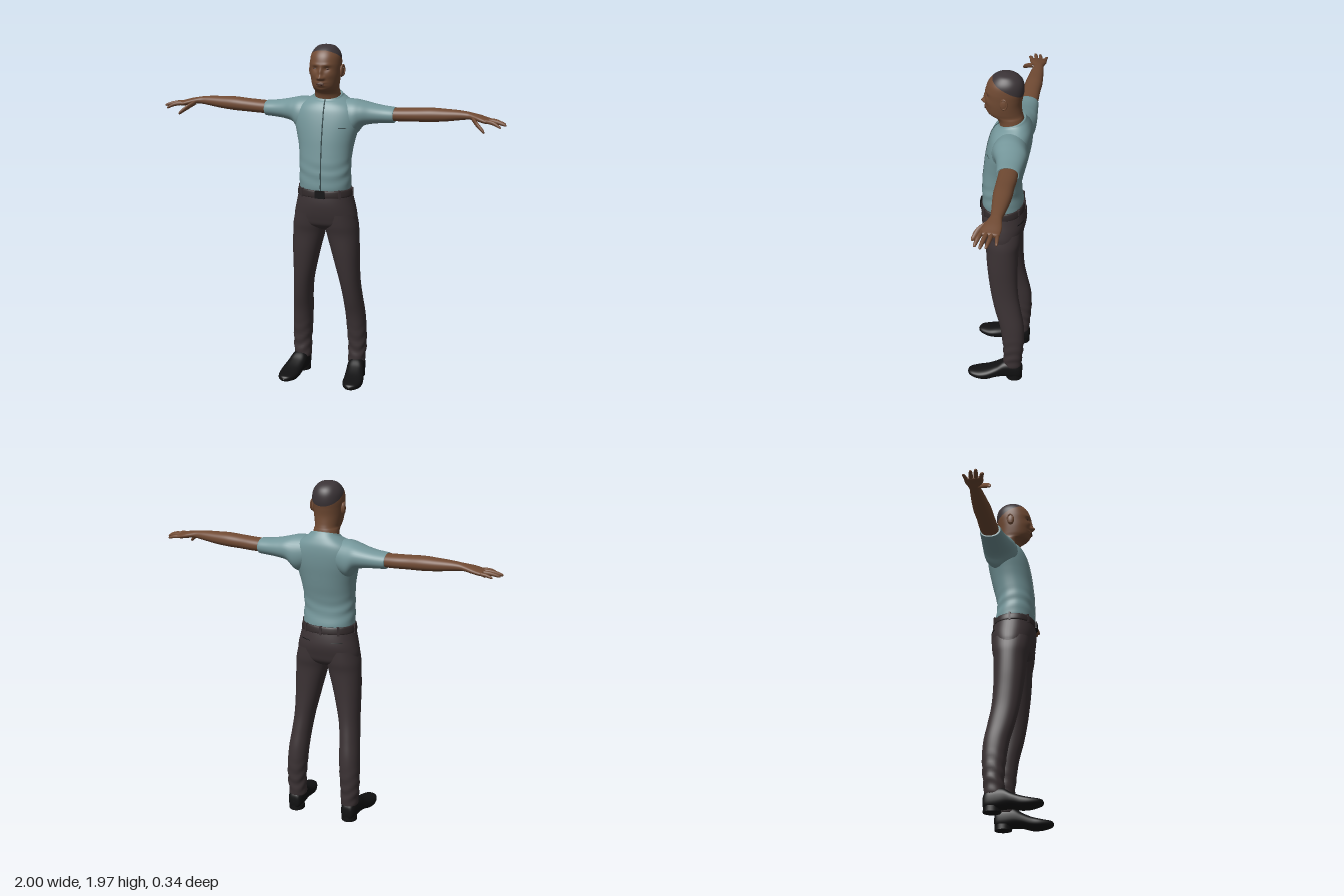
import * as THREE from 'three';
import { mergeVertices } from 'three/addons/utils/BufferGeometryUtils.js';

const paint = (name, color) => Object.assign(new THREE.MeshStandardMaterial({ color }), { name });
const skin = paint('skin', 0x704a33), lipShade = paint('dark skin', 0x4a2d23), hair = paint('hair', 0x3b3437);
const shirt = paint('shirt', 0x74969a), seam = paint('shirt seam', 0x3f5457);
const cloth = paint('trousers', 0x3b3234), leather = paint('belt', 0x31292a), black = paint('black leather', 0x111112);

// Smooth interpolation through the rows of a table
function spline(rows, t) {
  const n = rows.length - 1, i = Math.min(Math.max(Math.floor(t), 0), n - 1), f = t - i;
  const [a, b, c, d] = [i - 1, i, i + 1, i + 2].map((k) => rows[Math.min(Math.max(k, 0), n)]);
  return b.map((_, k) => 0.5 * (2 * b[k] + (c[k] - a[k]) * f
    + (2 * a[k] - 5 * b[k] + 4 * c[k] - d[k]) * f * f + (3 * b[k] - a[k] - 3 * c[k] + d[k]) * f ** 3));
}

// Rounded cross-sections along an axis; row = [position, aMin, aMax, bMin, bMax, tilt]
// (a, b) are (x, z) along y, (z, y) along x and (y, x) along z
function rings(axis, rows, power = 1, wrinkle = () => 0) {
  const bend = (v) => Math.sign(v) * Math.abs(v) ** power;
  return (u, t) => {
    const [s, a0, a1, b0, b1, tilt = 0] = spline(rows, t);
    const k = 1 + wrinkle(s, u);
    const a = (a0 + a1) / 2 + (a1 - a0) / 2 * k * bend(Math.sin(u));
    const b = (b0 + b1) / 2 + (b1 - b0) / 2 * k * bend(Math.cos(u));
    const h = s - tilt * Math.cos(u);
    return axis === 'y' ? new THREE.Vector3(a, h, b)
      : axis === 'x' ? new THREE.Vector3(h, b, a) : new THREE.Vector3(b, a, h);
  };
}

// Closed skin around a surface rule, optionally mirrored to the other side
function surface(fn, nu, nv, t0, t1, flip = false, focus = 0) {
  const pos = [], idx = [], at = (t, u) => (typeof t === 'function' ? t(u) : t);
  for (let j = 0; j <= nv; j++) for (let i = 0; i <= nu; i++) {
    const w = (i % nu) / nu * Math.PI * 2 - Math.PI, u = w - focus * Math.sin(w);
    const p = fn(u, THREE.MathUtils.lerp(at(t0, u), at(t1, u), j / nv));
    pos.push(flip ? -p.x : p.x, p.y, p.z);
    if (i < nu && j < nv) {
      const a = j * (nu + 1) + i, b = a + 1, c = a + nu + 1, d = c + 1;
      idx.push(...(flip ? [a, d, b, a, c, d] : [a, b, d, a, d, c]));
    }
  }
  let g = new THREE.BufferGeometry();
  g.setAttribute('position', new THREE.Float32BufferAttribute(pos, 3));
  g.setIndex(idx);
  g = mergeVertices(g, 1e-6);
  g.computeVertexNormals();
  return g;
}

export function createModel() {
  const root = new THREE.Group();
  const add = (name, geo, mat, x = 0, y = 0, z = 0) => {
    const m = new THREE.Mesh(geo, mat);
    m.name = name;
    m.position.set(x, y, z);
    root.add(m);
    return m;
  };
  const loft = (name, mat, axis, rows, { nu = 40, step = 6, power = 1, wrinkle, flip } = {}) =>
    add(name, surface(rings(axis, rows, power, wrinkle), nu, (rows.length - 1) * step, 0, rows.length - 1, flip), mat);
  const line = (name, mat, pts, r) =>
    add(name, new THREE.TubeGeometry(new THREE.CatmullRomCurve3(pts), 40, r, 6), mat);
  const blob = (name, mat, x, y, z, sx, sy, sz) =>
    add(name, new THREE.SphereGeometry(1, 20, 14), mat, x, y, z).scale.set(sx, sy, sz);
  const sym = (y, w, zb, zf, tilt = 0) => [y, -w, w, zb, zf, tilt];

  // Head and neck, with the face pushed out by soft bumps [x, y, width, height, amount]
  const headRows = [
    sym(1.64, 0.077, -0.13, 0), sym(1.69, 0.071, -0.126, 0.012), sym(1.713, 0.069, -0.122, 0.03),
    sym(1.728, 0.068, -0.118, 0.06), sym(1.75, 0.073, -0.114, 0.074), sym(1.79, 0.08, -0.112, 0.078),
    sym(1.83, 0.084, -0.118, 0.079), sym(1.87, 0.086, -0.125, 0.079), sym(1.91, 0.082, -0.122, 0.068),
    sym(1.94, 0.067, -0.106, 0.046), sym(1.961, 0.043, -0.074, 0.015), sym(1.97, 0, -0.025, -0.025)];
  const bumps = [[0, 1.797, 0.012, 0.011, 0.022], [0, 1.825, 0.009, 0.022, 0.012], [0, 1.771, 0.022, 0.006, 0.009],
    [0, 1.755, 0.02, 0.007, 0.009], [0, 1.728, 0.022, 0.012, 0.007]];
  for (const s of [-1, 1]) bumps.push([s * 0.015, 1.794, 0.008, 0.008, 0.008], [s * 0.034, 1.846, 0.016, 0.011, -0.009],
    [s * 0.032, 1.867, 0.022, 0.008, 0.004], [s * 0.048, 1.81, 0.02, 0.016, 0.004]);
  const skull = rings('y', headRows, 0.95);
  const head = (u, t) => {
    const p = skull(u, t);
    let dz = 0;
    for (const [x, y, w, h, k] of bumps) dz += k * Math.exp(-(((p.x - x) / w) ** 2 + ((p.y - y) / h) ** 2) / 1.4);
    p.z += dz * Math.max(0, Math.cos(u)) ** 0.5;
    return p;
  };
  const hairline = (u) => 7.75 + 1.35 * Math.cos(u);
  add('headAndNeck', surface(head, 96, 90, 0, hairline, false, 0.4), skin);
  add('hairCap', surface(head, 96, 30, hairline, 11, false, 0.4), hair);
  blob('lips', lipShade, 0, 1.763, 0.082, 0.023, 0.008, 0.006);
  for (const s of [-1, 1]) {
    blob('eye', lipShade, s * 0.034, 1.845, 0.063, 0.013, 0.004, 0.005);
    blob('ear', skin, s * 0.088, 1.825, -0.028, 0.011, 0.034, 0.021);
    const rim = add('earRim', new THREE.TorusGeometry(0.017, 0.004, 8, 24), skin, s * 0.095, 1.829, -0.03);
    rim.rotation.y = s * (Math.PI / 2 - 0.25);
    rim.scale.y = 1.6;
  }

  // Shirt body with soft folds at the waist and a tilted collar
  const torsoRows = [sym(1.16, 0.14, -0.125, 0.092), sym(1.175, 0.147, -0.128, 0.1), sym(1.25, 0.147, -0.116, 0.1),
    sym(1.32, 0.147, -0.121, 0.098), sym(1.4, 0.155, -0.14, 0.09), sym(1.46, 0.168, -0.153, 0.083),
    sym(1.52, 0.184, -0.165, 0.073), sym(1.57, 0.19, -0.171, 0.062), sym(1.61, 0.18, -0.172, 0.05),
    sym(1.64, 0.155, -0.168, 0.036, 0.003), sym(1.664, 0.115, -0.156, 0.022, 0.01),
    sym(1.68, 0.087, -0.142, 0.012, 0.018), sym(1.69, 0.079, -0.134, 0.007, 0.02), sym(1.688, 0.07, -0.126, 0, 0.02)];
  const folds = (y, u) => 0.018 * Math.sin(y * 85 + 2 * Math.sin(2 * u + 1)) * Math.max(0, 1 - Math.abs(y - 1.26) / 0.1);
  loft('shirtBody', shirt, 'y', torsoRows, { nu: 64, power: 0.9, wrinkle: folds });
  const torso = rings('y', torsoRows, 0.9, folds);
  const front = Array.from({ length: 40 }, (_, i) => torso(0.03, 0.8 + i * 0.29));
  line('shirtPlacket', seam, front, 0.0035);
  line('chestPocketEdge', seam, [0.5, 0.6, 0.7, 0.8].map((u) => torso(u, 6)), 0.002);

  // Trousers: hips, belt and buckle
  const hipRows = [sym(0.922, 0.01, -0.04, 0), sym(0.93, 0.09, -0.09, 0.035), sym(0.96, 0.172, -0.124, 0.077),
    sym(1.0, 0.182, -0.137, 0.092), sym(1.05, 0.174, -0.147, 0.102), sym(1.1, 0.162, -0.143, 0.105), sym(1.165, 0.148, -0.129, 0.1)];
  loft('hips', cloth, 'y', hipRows, { nu: 56, power: 0.9 });
  const hips = rings('y', hipRows, 0.9);
  loft('belt', leather, 'y', [sym(1.128, 0.15, -0.13, 0.1), sym(1.133, 0.159, -0.139, 0.108),
    sym(1.165, 0.154, -0.134, 0.106), sym(1.17, 0.144, -0.124, 0.096)], { nu: 56, power: 0.9 });
  add('buckle', new THREE.BoxGeometry(0.055, 0.042, 0.012), black, 0.005, 1.148, 0.108);
  for (const u of [0.75, 1.6, 2.5, Math.PI, -2.5, -1.6, -0.75]) {
    const p = hips(u, 5.7);
    const loop = add('beltLoop', new THREE.BoxGeometry(0.012, 0.05, 0.02), cloth, p.x, 1.148, p.z);
    loop.rotation.y = u;
  }

  for (const side of [1, -1]) {
    const flip = side < 0;
    // Sleeve, bare arm and palm run outward along x
    loft('sleeve', shirt, 'x', [[0.07, -0.15, 0.01, 1.5, 1.665], [0.15, -0.168, 0.025, 1.465, 1.667],
      [0.2, -0.171, 0.008, 1.515, 1.657], [0.25, -0.167, -0.012, 1.53, 1.645], [0.31, -0.161, -0.026, 1.537, 1.634],
      [0.37, -0.156, -0.034, 1.541, 1.628], [0.376, -0.15, -0.04, 1.546, 1.623], [0.372, -0.135, -0.06, 1.565, 1.605]],
    { power: 0.95, flip });
    loft('armAndPalm', skin, 'x', [[0.32, -0.145, -0.045, 1.55, 1.622], [0.42, -0.15, -0.048, 1.552, 1.626],
      [0.5, -0.148, -0.05, 1.555, 1.63], [0.58, -0.15, -0.052, 1.558, 1.635], [0.66, -0.145, -0.06, 1.565, 1.633],
      [0.73, -0.138, -0.068, 1.575, 1.63], [0.78, -0.132, -0.072, 1.582, 1.625], [0.81, -0.134, -0.063, 1.583, 1.62],
      [0.85, -0.14, -0.045, 1.576, 1.612], [0.885, -0.138, -0.038, 1.57, 1.602], [0.907, -0.132, -0.046, 1.572, 1.595],
      [0.912, -0.09, -0.088, 1.582, 1.584]], { power: 0.9, flip });

    // Fingers: [base, knuckle, tip, radius]
    const digits = {
      indexFinger: [[0.88, 1.587, -0.052], [0.93, 1.582, -0.038], [0.975, 1.561, -0.026], 0.0115],
      middleFinger: [[0.88, 1.588, -0.077], [0.945, 1.584, -0.066], [1.0, 1.57, -0.056], 0.0115],
      ringFinger: [[0.88, 1.586, -0.102], [0.94, 1.583, -0.094], [0.993, 1.57, -0.085], 0.011],
      littleFinger: [[0.88, 1.583, -0.125], [0.925, 1.581, -0.128], [0.965, 1.571, -0.131], 0.0095],
      thumb: [[0.81, 1.595, -0.075], [0.85, 1.568, -0.026], [0.892, 1.535, -0.002], 0.015],
    };
    for (const [name, [a, b, c, r]] of Object.entries(digits)) {
      const curve = new THREE.CatmullRomCurve3([a, b, c].map((p) => new THREE.Vector3(...p)));
      const rows = [[0, 0.9], [0.3, 1], [0.55, 0.98], [0.8, 0.82], [0.93, 0.66], [0.985, 0.35], [1, 0]].map(([t, k]) => {
        const p = curve.getPoint(t), q = r * k;
        return [p.x, p.z - q, p.z + q, p.y - q, p.y + q];
      });
      loft(name, skin, 'x', rows, { nu: 14, step: 3, flip });
    }

    // Trouser leg, creased towards the hem
    const creases = (y, u) => 0.05 * Math.sin(y * 90 + 2 * Math.sin(u * 2 + 1)) * Math.max(0, 1 - Math.abs(y - 0.2) / 0.16);
    loft('trouserLeg', cloth, 'y', [[0.1, 0.13, 0.2, -0.13, -0.06], [0.095, 0.119, 0.214, -0.15, -0.042],
      [0.14, 0.117, 0.219, -0.154, -0.043], [0.2, 0.117, 0.223, -0.159, -0.044], [0.3, 0.11, 0.222, -0.165, -0.034],
      [0.4, 0.104, 0.216, -0.16, -0.018], [0.5, 0.097, 0.206, -0.141, 0.01], [0.6, 0.083, 0.198, -0.123, 0.032],
      [0.7, 0.06, 0.196, -0.116, 0.048], [0.8, 0.035, 0.196, -0.115, 0.06], [0.9, 0.008, 0.193, -0.118, 0.068],
      [0.96, -0.003, 0.188, -0.128, 0.08], [1.03, 0, 0.172, -0.13, 0.088]], { power: 0.92, wrinkle: creases, flip });
    line('backPocket', black, [2.35, 2.5, 2.65, 2.8].map((u) => hips(side * u, 4.7)), 0.003);

    // Shoe upper and raised heel run forward along z
    loft('shoe', black, 'z', [[-0.157, 0.05, 0.055, 0.167, 0.173], [-0.152, 0.018, 0.095, 0.14, 0.2],
      [-0.13, 0.008, 0.12, 0.128, 0.213], [-0.09, 0.008, 0.128, 0.125, 0.219], [-0.045, 0.014, 0.124, 0.126, 0.226],
      [0, 0.014, 0.096, 0.13, 0.238], [0.05, 0.003, 0.074, 0.135, 0.25], [0.1, 0.004, 0.06, 0.14, 0.251],
      [0.145, 0.013, 0.052, 0.158, 0.237], [0.163, 0.019, 0.046, 0.175, 0.218], [0.17, 0.031, 0.033, 0.195, 0.2]],
    { power: 0.8, flip });
    const heel = add('shoeHeel', new THREE.CylinderGeometry(0.044, 0.045, 0.03, 32), black, side * 0.17, 0.015, -0.108);
    heel.scale.z = 1.08;
  }
  return root;
}
